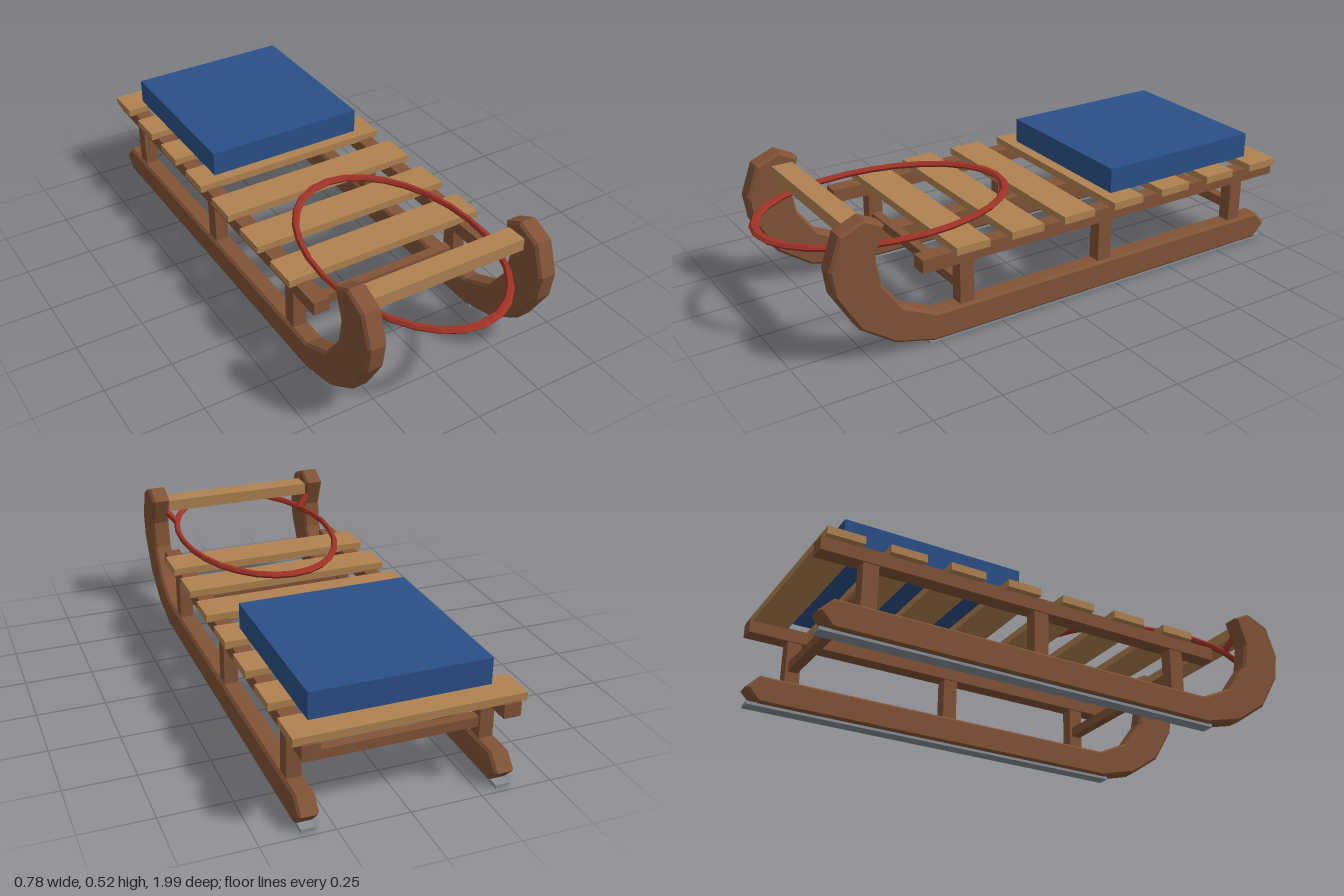
import * as THREE from 'three';

const mat = (name, color) => {
  const m = new THREE.MeshStandardMaterial({ color, flatShading: true });
  m.name = name;
  return m;
};

export function createModel() {
  const sled = new THREE.Group();
  sled.name = 'sled';
  const darkWood = mat('darkWood', 0x825336);
  const lightWood = mat('lightWood', 0xb08250);
  const cloth = mat('blueCloth', 0x2b5088);
  const rope = mat('redRope', 0xa03226);
  const steel = mat('steel', 0x8a9095);

  const add = (name, geometry, material, x = 0, y = 0, z = 0) => {
    const mesh = new THREE.Mesh(geometry, material);
    mesh.name = name;
    mesh.position.set(x, y, z);
    sled.add(mesh);
    return mesh;
  };
  // Box given by its centre x, width, and y and z ranges
  const box = (name, material, x, w, y0, y1, z0, z1) =>
    add(name, new THREE.BoxGeometry(w, y1 - y0, z1 - z0), material, x, (y0 + y1) / 2, (z0 + z1) / 2);

  // Curled runner outline as (z, y), with bevelled edges
  const outline = [
    [-0.94, 0.01], [0.52, 0.01], [0.67, 0.05], [0.795, 0.137], [0.877, 0.275],
    [0.89, 0.37], [0.848, 0.485], [0.76, 0.521], [0.69, 0.485], [0.727, 0.38],
    [0.71, 0.28], [0.635, 0.175], [0.51, 0.115], [-0.94, 0.115], [-0.99, 0.062],
  ].map(([z, y]) => new THREE.Vector2(z, y));
  const runnerGeo = new THREE.ExtrudeGeometry(new THREE.Shape(outline), {
    depth: 0.052, bevelEnabled: true, bevelThickness: 0.009, bevelSize: 0.009,
    bevelOffset: -0.009, bevelSegments: 1,
  });
  runnerGeo.translate(0, 0, -0.026).rotateY(-Math.PI / 2);

  for (const side of [1, -1]) {
    const label = side > 0 ? 'left' : 'right';
    const x = side * 0.335;
    add(label + 'Runner', runnerGeo, darkWood, x);
    box(label + 'SteelStrip', steel, x, 0.05, 0, 0.012, -0.98, 0.54);
    box(label + 'Rail', darkWood, x, 0.06, 0.272, 0.322, -1, 0.56);
    for (const z of [0.39, -0.19, -0.825])
      box(label + 'Post', darkWood, x, 0.05, 0.1, 0.28, z - 0.0275, z + 0.0275);

    // Short rope end tied to the runner's curl
    const end = new THREE.LineCurve3(
      new THREE.Vector3(side * 0.268, 0.378, 0.7), new THREE.Vector3(side * 0.325, 0.445, 0.73));
    add(label + 'RopeEnd', new THREE.TubeGeometry(end, 1, 0.014, 6), rope);
  }

  // Cross bars joining front and rear posts
  for (const z of [0.39, -0.825])
    box('crossBar', darkWood, 0, 0.64, 0.155, 0.191, z - 0.018, z + 0.018);

  // Seat slats
  for (let i = 0; i < 7; i++) {
    const z = -0.925 + i * 0.2175;
    box('slat', lightWood, 0, 0.78, 0.318, 0.346, z - 0.065, z + 0.065);
  }

  box('frontHandleBar', lightWood, 0, 0.61, 0.43, 0.475, 0.715, 0.793);
  box('cushion', cloth, 0, 0.62, 0.345, 0.44, -0.905, -0.25);

  // Oval pull rope
  const loop = new THREE.TorusGeometry(0.3, 0.0115, 6, 28);
  loop.rotateX(Math.PI / 2).scale(1, 1, 1.545);
  add('pullRope', loop, rope, 0, 0.378, 0.51);

  return sled;
}
